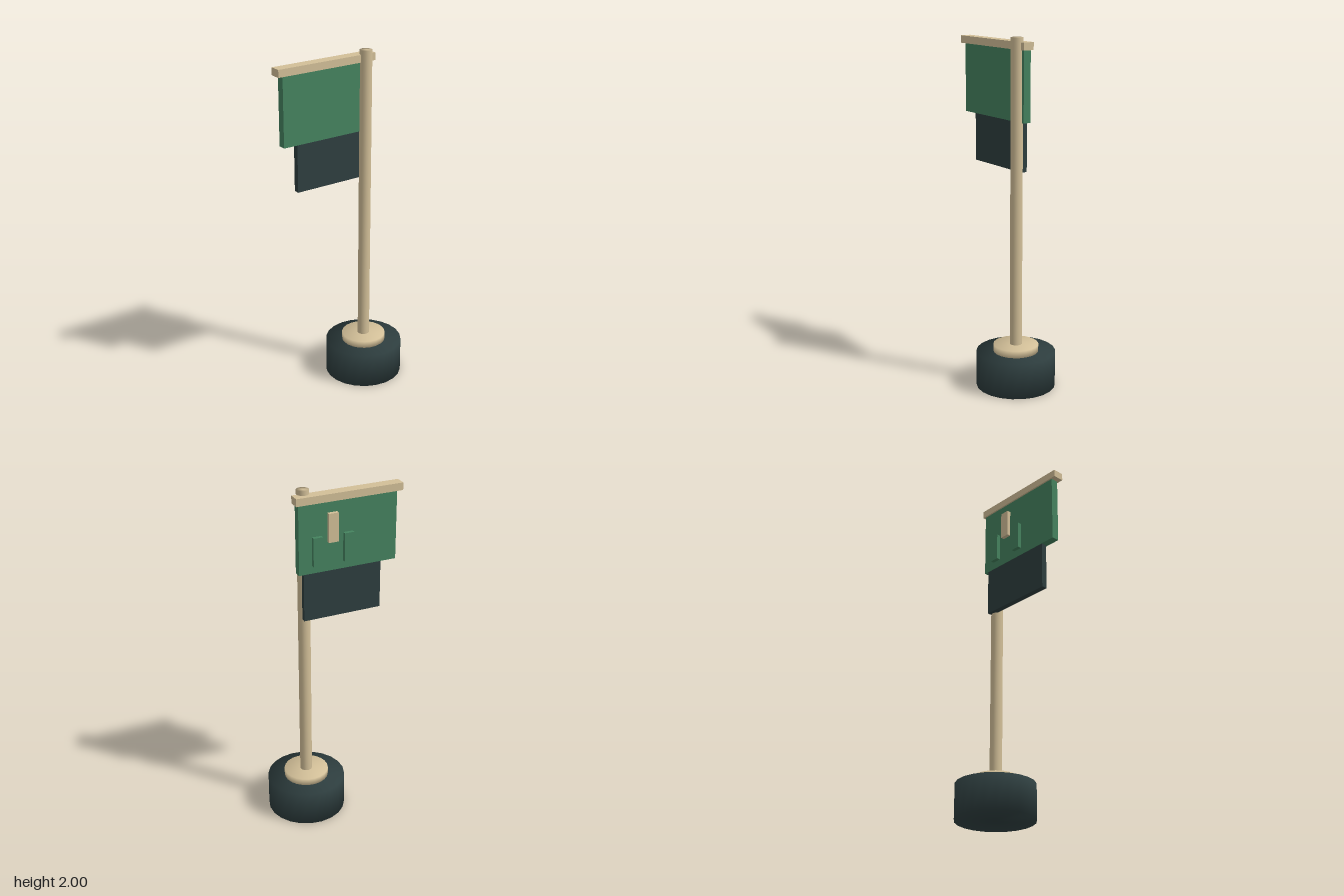
import * as THREE from 'three';
import { mergeVertices } from 'three/addons/utils/BufferGeometryUtils.js';

export function createModel() {
  const model = new THREE.Group();
  model.name = 'standingBanner';
  const material = (name, color) => {
    const m = new THREE.MeshStandardMaterial({ color });
    m.name = name;
    return m;
  };
  const green = material('green cloth', 0x45835f);
  const dark = material('dark slate', 0x2e3e3f);
  const tan = material('pale wood', 0xd2bf98);
  const poleX = 0.168;

  const add = (name, geometry, mat) => {
    const mesh = new THREE.Mesh(geometry, mat);
    mesh.name = name;
    model.add(mesh);
  };
  // Box given by its limits on each axis
  const box = (name, mat, [x0, x1], [y0, y1], [z0, z1]) => {
    const g = new THREE.BoxGeometry(x1 - x0, y1 - y0, z1 - z0);
    g.translate((x0 + x1) / 2, (y0 + y1) / 2, (z0 + z1) / 2);
    add(name, g, mat);
  };
  // Cylinder on the pole axis, with normals blended softly over the rims
  const disc = (name, mat, radius, y0, y1, sides) => {
    let g = new THREE.CylinderGeometry(radius, radius, y1 - y0, sides);
    g.deleteAttribute('normal');
    g.deleteAttribute('uv');
    g = mergeVertices(g);
    g.computeVertexNormals();
    g.translate(poleX, (y0 + y1) / 2, 0);
    add(name, g, mat);
  };

  // Stand
  disc('base', dark, 0.228, 0, 0.207, 22);
  disc('collar', tan, 0.13, 0.2, 0.248, 22);
  disc('pole', tan, 0.035, 0.2, 2, 16);

  // Crossbar and hanging cloth
  box('crossbar', tan, [-0.398, 0.232], [1.932, 1.975], [-0.065, 0]);
  box('banner', green, [-0.366, 0.218], [1.535, 1.932], [-0.056, -0.011]);
  box('lowerBanner', dark, [-0.275, 0.19], [1.256, 1.535], [-0.054, -0.02]);

  // Raised blocks on the back of the banner
  box('centreBlock', tan, [-0.007, 0.05], [1.705, 1.87], [-0.078, -0.05]);
  for (const x of [-0.1, 0.085]) {
    box('sideBlock', green, [x, x + 0.056], [1.58, 1.745], [-0.078, -0.05]);
  }
  return model;
}
